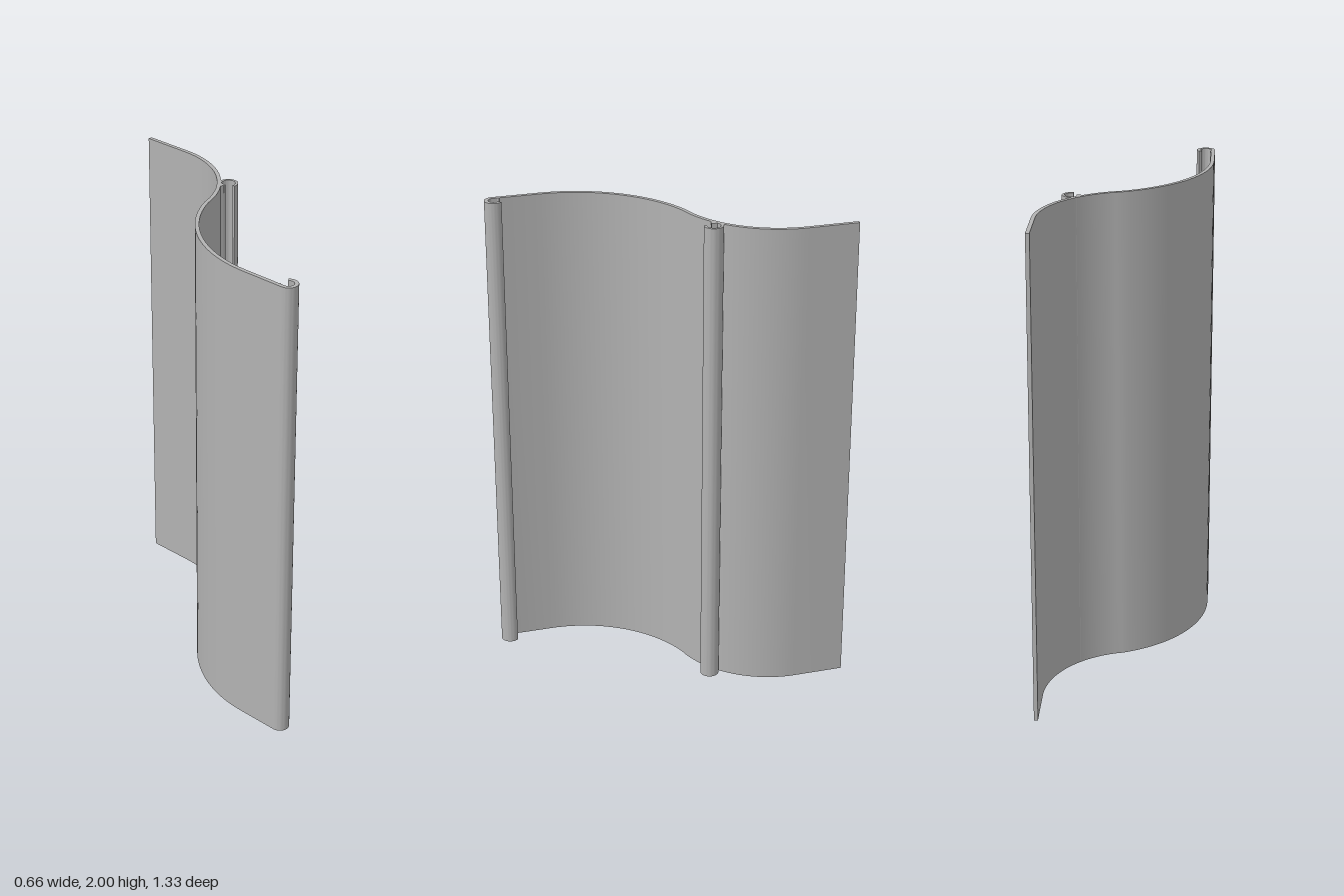
import * as THREE from 'three';
import { toCreasedNormals } from 'three/addons/utils/BufferGeometryUtils.js';

const HEIGHT = 2;

// Points [x, z] along an arc seen from above
function arc(cx, cz, r, from, to, steps) {
  return Array.from({ length: steps + 1 }, (_, i) => {
    const a = from + (to - from) * i / steps;
    return [cx + r * Math.cos(a), cz + r * Math.sin(a)];
  });
}

// Upright strip of even thickness that follows a centre line
function strip(name, path, thickness, material) {
  const pts = path.map(([x, z]) => new THREE.Vector2(x, -z))
    .filter((p, i, all) => i === 0 || p.distanceTo(all[i - 1]) > 1e-4);
  const left = [], right = [];
  pts.forEach((p, i) => {
    const a = pts[Math.max(i - 1, 0)], b = pts[Math.min(i + 1, pts.length - 1)];
    const d = b.clone().sub(a).normalize().multiplyScalar(thickness / 2);
    left.push(new THREE.Vector2(p.x - d.y, p.y + d.x));
    right.push(new THREE.Vector2(p.x + d.y, p.y - d.x));
  });
  const shape = new THREE.Shape([...left, ...right.reverse()]);
  const geo = new THREE.ExtrudeGeometry(shape, { depth: HEIGHT, bevelEnabled: false });
  geo.rotateX(-Math.PI / 2);
  const mesh = new THREE.Mesh(toCreasedNormals(geo, 0.6), material);
  mesh.name = name;
  return mesh;
}

export function createModel() {
  const metal = new THREE.MeshStandardMaterial({ color: 0xb2b2b2 });
  metal.name = 'grey metal';
  const group = new THREE.Group();
  group.name = 'curvedProfile';

  // S-curved wall ending in the front screw channel
  const bend = Math.atan2(0.9, 0.304);
  const wall = [
    [0.324, -0.665],
    ...arc(-0.087, -0.46, 0.411, 0, bend, 24),
    ...arc(0.217, 0.44, 0.541, bend + Math.PI, Math.PI, 24).slice(1),
    ...arc(-0.294, 0.625, 0.03, Math.PI, -0.75, 24),
  ];
  group.add(strip('curvedWall', wall, 0.016, metal));

  // Small inner lip of the front channel
  group.add(strip('channelLip', [[-0.325, 0.598], [-0.313, 0.603]], 0.008, metal));

  // Open hook on the concave side, with its short prong
  const hook = [...arc(0.207, -0.122, 0.033, 1.75, -2.4, 24), [0.182, -0.132], [0.182, -0.119]];
  group.add(strip('sideHook', hook, 0.011, metal));
  group.add(strip('hookRoot', [[0.158, -0.132], [0.181, -0.125]], 0.012, metal));
  group.add(strip('hookNeck', [[0.192, -0.168], [0.203, -0.152]], 0.016, metal));

  return group;
}
